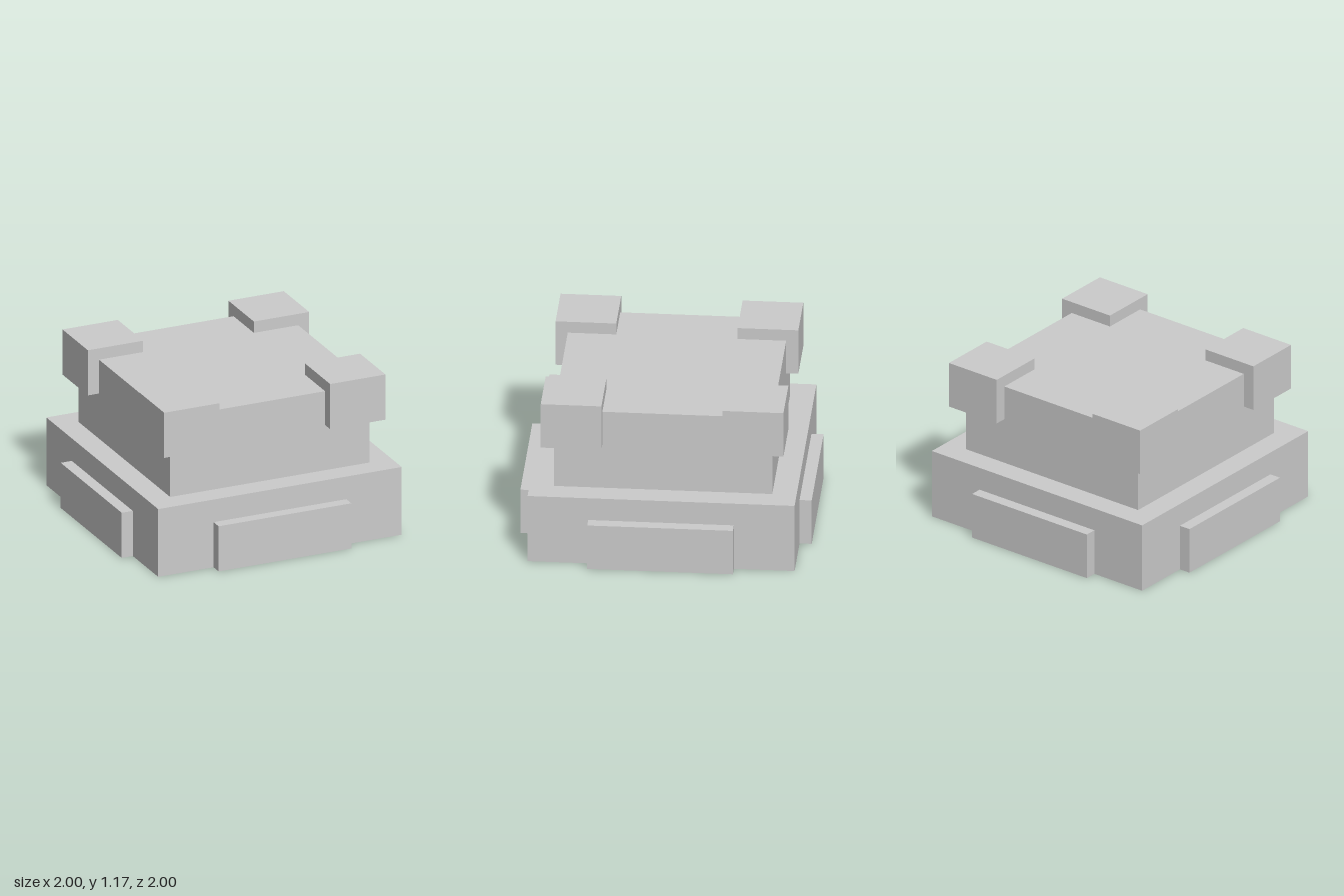
import * as THREE from 'three';

// All sizes are in twelfths of a unit
const U = 1 / 12;

export function createModel() {
  const model = new THREE.Group();
  const material = new THREE.MeshStandardMaterial({ color: 0xcccccc, flatShading: true });

  // Box of the given size standing on height y, centred on x and z
  function block(name, [w, h, d], [x, y, z]) {
    const mesh = new THREE.Mesh(new THREE.BoxGeometry(w * U, h * U, d * U), material);
    mesh.name = name;
    mesh.position.set(x * U, (y + h / 2) * U, z * U);
    model.add(mesh);
  }

  // Stepped body
  block('base', [22, 6, 22], [0, 0, 0]);
  block('upperBlock', [18, 7, 18], [0, 6, 0]);

  // Raised panel on each side of the base
  for (const s of [-1, 1]) {
    block(s > 0 ? 'frontPanel' : 'backPanel', [12, 4, 1], [0, 0, s * 11.5]);
    block(s > 0 ? 'leftPanel' : 'rightPanel', [1, 4, 12], [s * 11.5, 0, 0]);
  }

  // Overhanging block on each top corner
  for (const sx of [-1, 1]) {
    for (const sz of [-1, 1]) {
      const name = (sz > 0 ? 'front' : 'back') + (sx > 0 ? 'Left' : 'Right') + 'Corner';
      block(name, [5, 4, 5], [sx * 7.5, 10, sz * 7.5]);
    }
  }

  return model;
}
